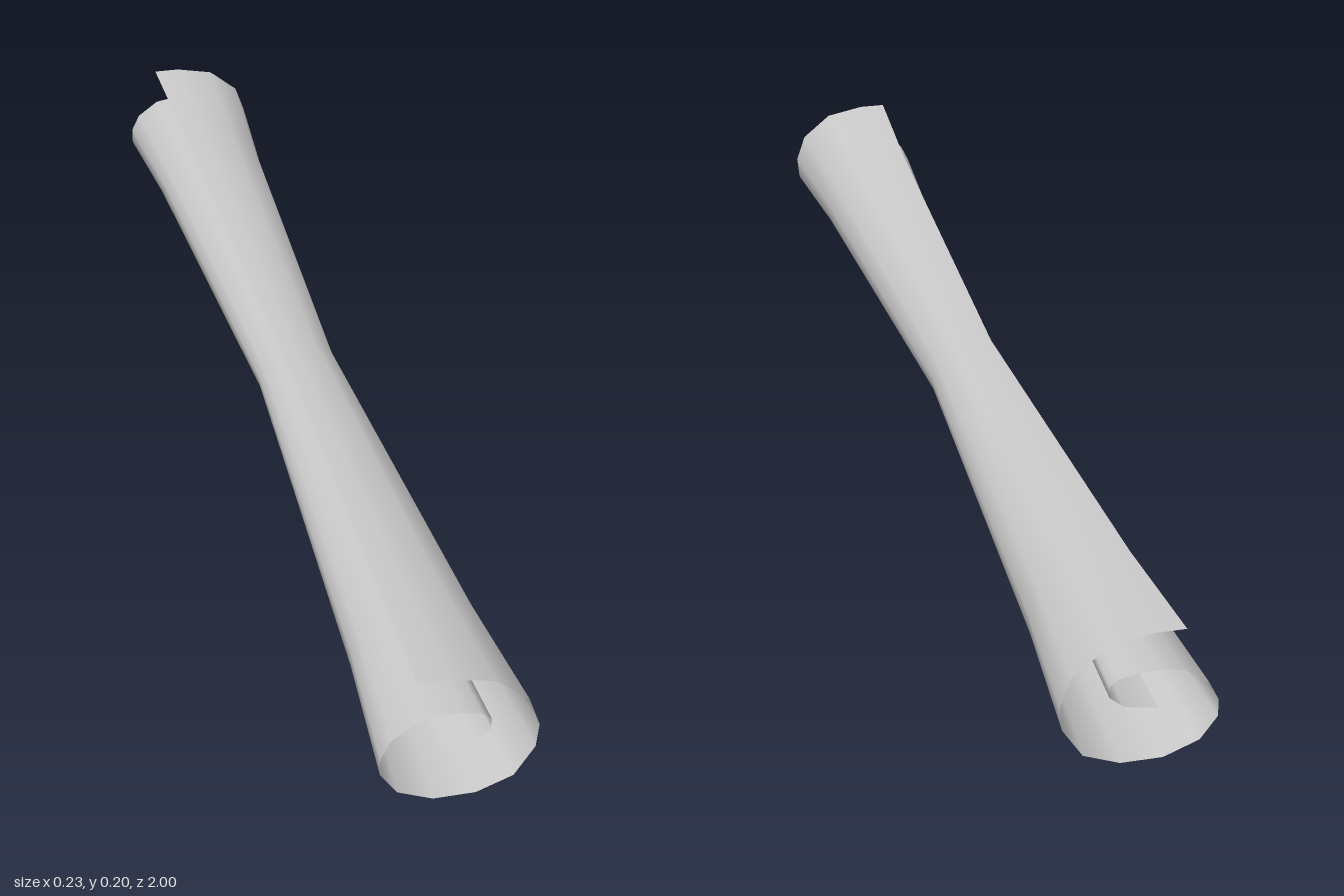
import * as THREE from 'three';

// Spiral cross-section of the rolled sheet at its ends, from outer lip to inner tip
const spiral = [
  [-0.065, 0.205], [-0.02, 0.205], [0.046, 0.192], [0.096, 0.151], [0.112, 0.105],
  [0.108, 0.067], [0.078, 0.021], [0.024, 0], [-0.038, 0], [-0.09, 0.021],
  [-0.115, 0.056], [-0.115, 0.083], [-0.101, 0.112], [-0.064, 0.139], [-0.03, 0.145],
  [0.003, 0.144], [0.029, 0.138], [0.042, 0.128], [0.042, 0.11], [0.021, 0.092], [-0.028, 0.083],
];
// Stations along the length: [z, scale about the roll's axis]
const stations = [[-1, 1], [-0.76, 0.846], [0, 0.577], [0.76, 0.846], [1, 1]];
const axis = { x: -0.006, y: 0.105 };

function rolledSheet() {
  const positions = [], index = [];
  for (const [z, s] of stations) {
    for (const [x, y] of spiral) {
      positions.push(axis.x + (x - axis.x) * s, axis.y + (y - axis.y) * s, z);
    }
  }
  const n = spiral.length;
  for (let j = 0; j < stations.length - 1; j++) {
    for (let i = 0; i < n - 1; i++) {
      const a = j * n + i, b = a + n;
      index.push(a, b, a + 1, b, b + 1, a + 1);
    }
  }
  const geometry = new THREE.BufferGeometry();
  geometry.setAttribute('position', new THREE.Float32BufferAttribute(positions, 3));
  geometry.setIndex(index);
  geometry.computeVertexNormals();
  return geometry;
}

export function createModel() {
  const group = new THREE.Group();
  group.name = 'scroll';
  // Thin open sheet, pinched at the middle and flared at both ends
  const sheet = new THREE.Mesh(
    rolledSheet(),
    new THREE.MeshStandardMaterial({ color: 0xcccccc, side: THREE.DoubleSide })
  );
  sheet.name = 'rolledSheet';
  group.add(sheet);
  return group;
}
